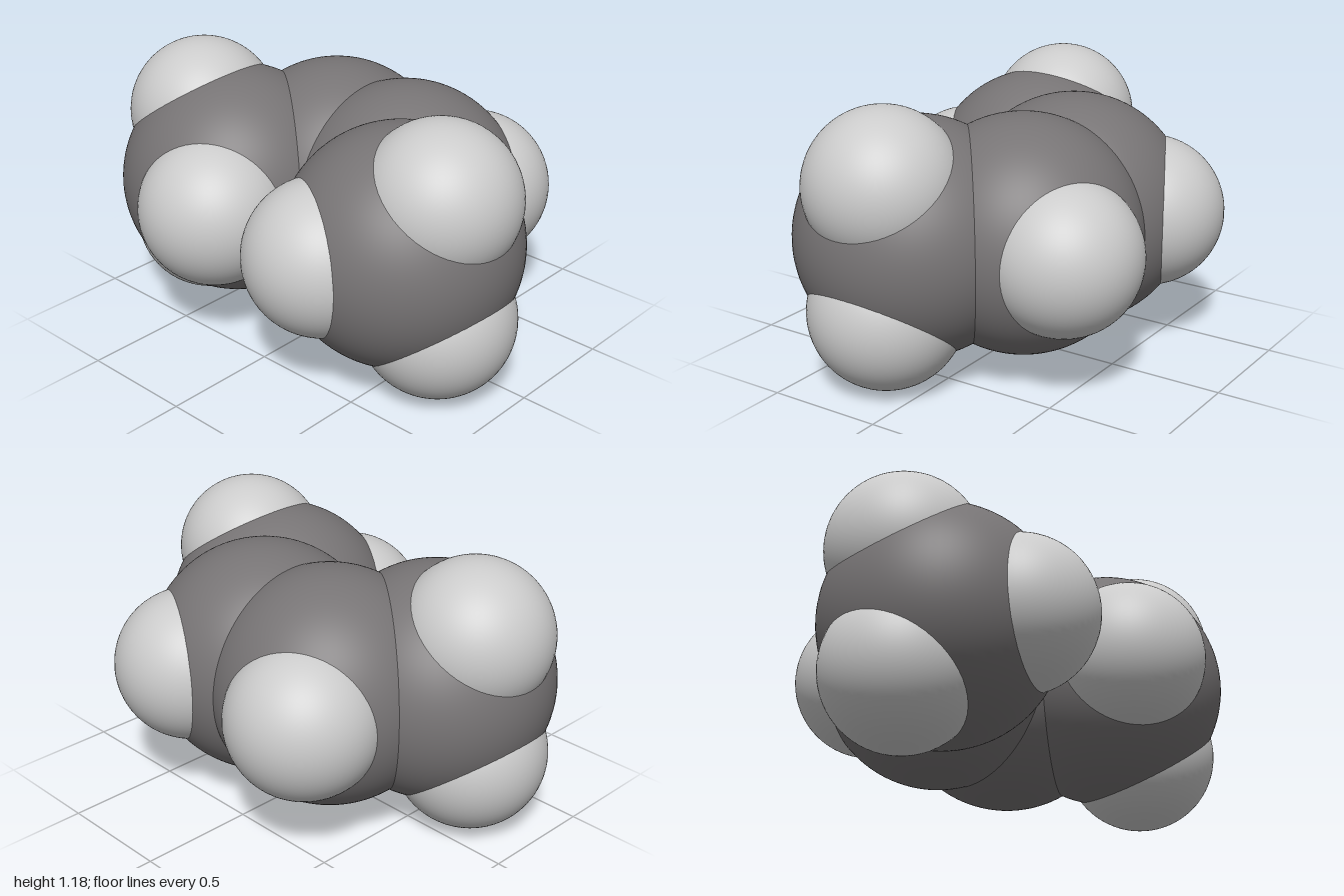
import * as THREE from 'three';

// A space-filling molecule: four overlapping carbon balls in a bent chain,
// eight smaller hydrogen balls, mirrored left and right.
const MID_Y = 0.592;

export function createModel() {
  const model = new THREE.Group();
  model.name = 'molecule';

  const carbonMaterial = new THREE.MeshStandardMaterial({ color: 0x777475 });
  const hydrogenMaterial = new THREE.MeshStandardMaterial({ color: 0xcccccc });
  const carbonGeometry = new THREE.SphereGeometry(0.505, 80, 56);
  const hydrogenGeometry = new THREE.SphereGeometry(0.327, 64, 44);

  const addAtom = (name, geometry, material, x, dy, z) => {
    const atom = new THREE.Mesh(geometry, material);
    atom.name = name;
    atom.position.set(x, MID_Y + dy, z);
    model.add(atom);
  };
  const carbon = (name, x, dy, z) => addAtom(name, carbonGeometry, carbonMaterial, x, dy, z);
  const hydrogen = (name, x, dy, z) => addAtom(name, hydrogenGeometry, hydrogenMaterial, x, dy, z);

  for (const [side, s] of [['left', 1], ['right', -1]]) {
    // Inner pair of the chain, at the back, each with one hydrogen
    carbon(`${side}BackCarbon`, s * 0.199, 0, -0.175);
    hydrogen(`${side}BackHydrogen`, s * 0.35, 0, -0.464);

    // End of the chain, with one hydrogen in front, one above and one below
    carbon(`${side}EndCarbon`, s * 0.475, 0, 0.175);
    hydrogen(`${side}FrontHydrogen`, s * 0.312, 0, 0.464);
    hydrogen(`${side}UpperHydrogen`, s * 0.673, 0.265, 0.177);
    hydrogen(`${side}LowerHydrogen`, s * 0.673, -0.265, 0.177);
  }
  return model;
}
